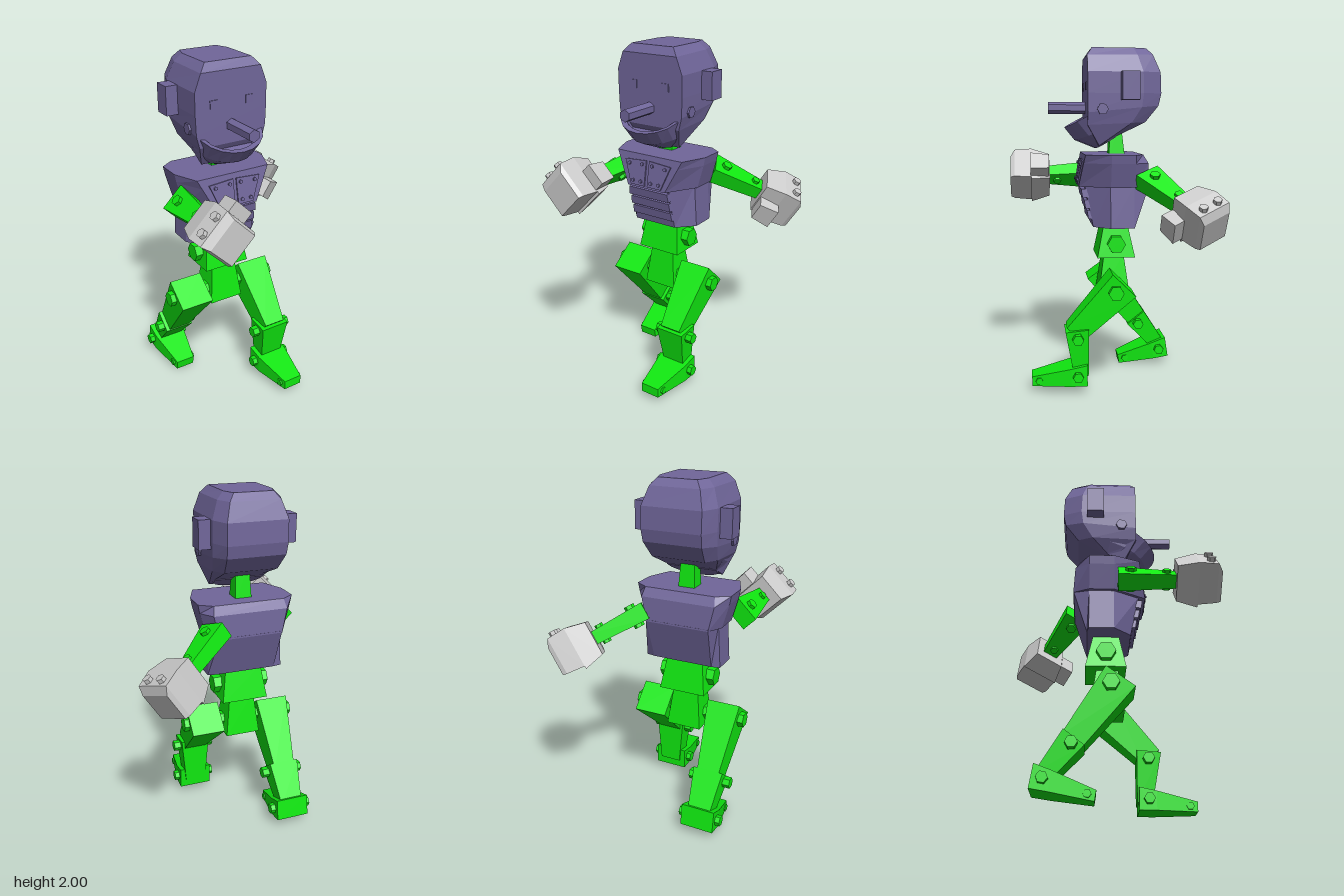
import * as THREE from 'three';

const paint = (color) => new THREE.MeshStandardMaterial({ color, flatShading: true });
const V = (x, y, z) => new THREE.Vector3(x, y, z);

export function createModel() {
  const purple = paint(0x70669a), green = paint(0x10e810), grey = paint(0xcccccc);

  const add = (parent, name, geometry, material, x = 0, y = 0, z = 0) => {
    const m = new THREE.Mesh(geometry, material);
    m.name = name;
    m.position.set(x, y, z);
    parent.add(m);
    return m;
  };
  const group = (parent, name) => {
    const g = new THREE.Group();
    g.name = name;
    parent.add(g);
    return g;
  };

  // Closed rings joined into a capped solid (rings run counter-clockwise seen from the last one)
  const loft = (rings) => {
    const pos = [];
    const tri = (...p) => p.forEach((q) => pos.push(...q));
    const n = rings[0].length, last = rings[rings.length - 1];
    for (let k = 0; k + 1 < rings.length; k++) {
      for (let i = 0; i < n; i++) {
        const j = (i + 1) % n, a = rings[k], b = rings[k + 1];
        tri(a[i], a[j], b[j]);
        tri(a[i], b[j], b[i]);
      }
    }
    for (let i = 1; i + 1 < n; i++) {
      tri(rings[0][0], rings[0][i + 1], rings[0][i]);
      tri(last[0], last[i], last[i + 1]);
    }
    const g = new THREE.BufferGeometry();
    g.setAttribute('position', new THREE.Float32BufferAttribute(pos, 3));
    g.computeVertexNormals();
    return g;
  };

  // Tapered bar along z; rows are [z, half width, half height, centre height]
  const bar = (rows) => loft(rows.map(([z, w, h, c = 0]) =>
    [[w, c - h, z], [w, c + h, z], [-w, c + h, z], [-w, c - h, z]]));
  // Tapered block along y; rows are [y, half width, front z, back z]
  const block = (rows) => loft(rows.map(([y, w, f, b]) =>
    [[w, y, f], [w, y, b], [-w, y, b], [-w, y, f]]));

  const bolt = (parent, axis, r, length, x, y, z, mat = green) => {
    const m = add(parent, 'bolt', new THREE.CylinderGeometry(r, r, length, 6), mat, x, y, z);
    if (axis === 'x') m.rotation.z = Math.PI / 2;
    if (axis === 'z') m.rotation.x = Math.PI / 2;
    return m;
  };

  // Turns a group so that its z runs along dir and its y lies near up
  const aim = (g, origin, dir, up) => {
    const z = dir.clone().normalize();
    const x = up.clone().cross(z).normalize();
    g.quaternion.setFromRotationMatrix(new THREE.Matrix4().makeBasis(x, z.clone().cross(x), z));
    g.position.copy(origin);
    return g;
  };

  const root = new THREE.Group();
  root.name = 'robot';
  const body = group(root, 'body');
  body.position.x = -0.115;

  // Head: the lower rows tilt up towards the nape; rows are [front y, back y, half width, front z, back z]
  const head = group(body, 'head');
  const skullRows = [
    [1.44, 1.51, 0.15, 0.08, -0.05], [1.56, 1.575, 0.195, 0.15, -0.19],
    [1.63, 1.67, 0.213, 0.15, -0.265], [1.74, 1.74, 0.217, 0.15, -0.28],
    [1.86, 1.86, 0.217, 0.15, -0.275], [1.955, 1.96, 0.18, 0.15, -0.235], [2, 2, 0.14, 0.12, -0.2],
  ];
  add(head, 'skull', loft(skullRows.map(([yf, yb, w, f, b]) => {
    const ym = yf + (yb - yf) * 0.75, zm = b + (f - b) * 0.25;
    return [[w, yf, f], [w, ym, zm], [w * 0.8, yb, b], [-w * 0.8, yb, b], [-w, ym, zm], [-w, yf, f]];
  })), purple);
  // Open, bowl-like jaw; rows are [half width, end z, front z, end y, front y]
  const jawRows = [
    [0.15, -0.02, 0.09, 1.49, 1.42], [0.185, 0, 0.215, 1.55, 1.47],
    [0.2, 0.08, 0.275, 1.645, 1.545], [0.175, 0.08, 0.24, 1.645, 1.55], [0.16, 0.05, 0.2, 1.56, 1.5],
  ];
  add(head, 'jaw', loft(jawRows.map(([w, z0, z1, y0, y1]) => Array.from({ length: 11 }, (_, i) => {
    const a = (i / 10) * Math.PI, t = Math.pow(Math.abs(Math.sin(a)), 0.8);
    return [-w * Math.cos(a), y0 + (y1 - y0) * t, z0 + (z1 - z0) * t];
  }))), purple);
  bolt(head, 'z', 0.035, 0.3, 0, 1.66, 0.22, purple).name = 'nose';
  for (const s of [-1, 1]) {
    add(head, 'ear', new THREE.BoxGeometry(0.09, 0.16, 0.1), purple, s * 0.24, 1.78, -0.09);
    add(head, 'eye', new THREE.BoxGeometry(0.045, 0.045, 0.02), purple, s * 0.108, 1.785, 0.145);
  }
  bolt(head, 'x', 0.033, 0.45, 0, 1.65, 0.065, purple).name = 'jawPin';
  add(body, 'neck', block([[1.37, 0.05, 0.012, -0.085], [1.58, 0.04, 0, -0.06]]), green);

  // Torso: eight-sided; rows are [y, half width, front flat, front z, back flat, back z]
  const octagons = (rows) => loft(rows.map(([y, w, ff, f, bf, b]) => [
    [ff, y, f], [w, y, 0.02], [w, y, -0.12], [bf, y, b],
    [-bf, y, b], [-w, y, -0.12], [-w, y, 0.02], [-ff, y, f]]));
  const torso = group(body, 'torso');
  add(torso, 'chest', octagons([
    [1.2, 0.235, 0.13, 0.2, 0.19, -0.21], [1.34, 0.275, 0.2, 0.175, 0.22, -0.2],
    [1.39, 0.285, 0.225, 0.165, 0.21, -0.17]]), purple);
  add(torso, 'abdomen', octagons([
    [0.96, 0.23, 0.14, 0.115, 0.18, -0.13], [1.21, 0.215, 0.13, 0.165, 0.19, -0.21]]), purple);
  for (let i = 0; i < 3; i++) {
    const y = 1.135 - i * 0.063, f = 0.185 - i * 0.017;
    add(torso, 'bellyBand', block([[y, 0.14, f - 0.008, 0], [y + 0.05, 0.135, f, 0]]), purple);
  }
  // Two riveted plates on the sloping chest
  const plates = group(torso, 'chestPlates');
  plates.position.set(0, 1.285, 0.181);
  plates.rotation.x = -0.18;
  for (const s of [-1, 1]) {
    const shape = new THREE.Shape(
      [[0.01, -0.075], [0.105, -0.075], [0.16, 0.065], [0.01, 0.075]].map(([x, y]) => new THREE.Vector2(s * x, y)));
    add(plates, 'chestPlate', new THREE.ExtrudeGeometry(shape, { depth: 0.012, bevelEnabled: false }), purple);
    for (const [x, y] of [[0.035, 0.05], [0.125, 0.045], [0.035, -0.05], [0.09, -0.05]])
      bolt(plates, 'z', 0.011, 0.012, s * x, y, 0.015, purple).name = 'rivet';
  }

  // Hips
  const hips = group(body, 'hips');
  add(hips, 'waist', block([[0.77, 0.14, 0.09, -0.137], [0.965, 0.11, 0.05, -0.095]]), green);
  bolt(hips, 'x', 0.055, 0.34, 0, 0.855, -0.022);
  add(hips, 'pelvis', block([[0.53, 0.105, 0.08, -0.11], [0.78, 0.075, 0.045, -0.075]]), green);

  // Legs: points are [y, z]
  const limb = (parent, name, [y0, z0], [y1, z1], start, end) => {
    const dir = V(0, y1 - y0, z1 - z0);
    const g = aim(group(parent, name), V(0, y0, z0), dir, V(0, z1 - z0, y0 - y1));
    add(g, name + 'Shell', bar([[0, ...start], [dir.length(), ...end]]), green);
  };
  const leg = (name, x, p) => {
    const g = group(body, name);
    g.position.x = x;
    limb(g, 'thigh', p.hip, p.thighEnd, [0.1, 0.095], [0.065, 0.062]);
    limb(g, 'shin', p.shinTop, p.shinEnd, [0.09, 0.068], [0.065, 0.042]);
    bolt(g, 'x', 0.045, 0.255, 0, 0.6, 0);
    bolt(g, 'x', 0.033, 0.255, 0, ...p.knee);
    const foot = group(g, 'foot');
    foot.position.set(0, ...p.ankle);
    foot.rotation.x = p.pitch;
    add(foot, 'footShell', bar([[-0.055, 0.1, 0.0625, 0.003], [0.04, 0.098, 0.053, -0.007], [0.267, 0.058, 0.028, -0.032]]), green);
    bolt(foot, 'x', 0.031, 0.255, 0, 0, 0);
    bolt(foot, 'x', 0.022, 0.148, 0, -0.03, 0.225);
  };
  leg('leftLeg', 0.221, {
    hip: [0.64, -0.05], thighEnd: [0.345, 0.24], shinTop: [0.375, 0.225], shinEnd: [0.09, 0.2],
    knee: [0.33, 0.222], ankle: [0.105, 0.222], pitch: 0,
  });
  leg('rightLeg', -0.221, {
    hip: [0.64, 0.05], thighEnd: [0.29, -0.205], shinTop: [0.315, -0.185], shinEnd: [0.11, -0.345],
    knee: [0.28, -0.197], ankle: [0.104, -0.333], pitch: 0.16,
  });

  // Arms: wrist at the origin, hand along z, back of the hand towards y, thumb on the given side
  const arm = (name, thumbSide, wrist, dir, up) => {
    const g = aim(group(root, name), wrist, dir, up);
    add(g, 'forearm', bar([[-0.32, 0.08, 0.05], [0.03, 0.043, 0.038]]), green);
    bolt(g, 'y', 0.03, 0.135, 0, 0, -0.25);
    bolt(g, 'y', 0.024, 0.115, 0, 0, -0.05);
    const hand = group(g, 'hand');
    add(hand, 'palm', bar([[0, 0.088, 0.1], [0.115, 0.112, 0.126]]), grey);
    add(hand, 'fingers', bar([[0.115, 0.112, 0.118, 0.008], [0.22, 0.108, 0.11, 0.01], [0.245, 0.095, 0.085, -0.012]]), grey);
    add(hand, 'thumb', bar([[0.005, 0.04, 0.055], [0.12, 0.048, 0.065]]), grey, thumbSide * 0.132, -0.035, 0);
    for (const s of [-1, 1]) bolt(hand, 'y', 0.025, 0.05, s * 0.052, 0.12, 0.185, grey).name = 'knuckle';
  };
  arm('rightArm', 1, V(-0.395, 1.24, 0.36), V(0, 0, 1), V(-1, 1, 0));
  arm('leftArm', -1, V(0.315, 1.115, -0.365), V(0.71, -0.445, -0.54), V(0.54, 0.83, 0.02));

  return root;
}
